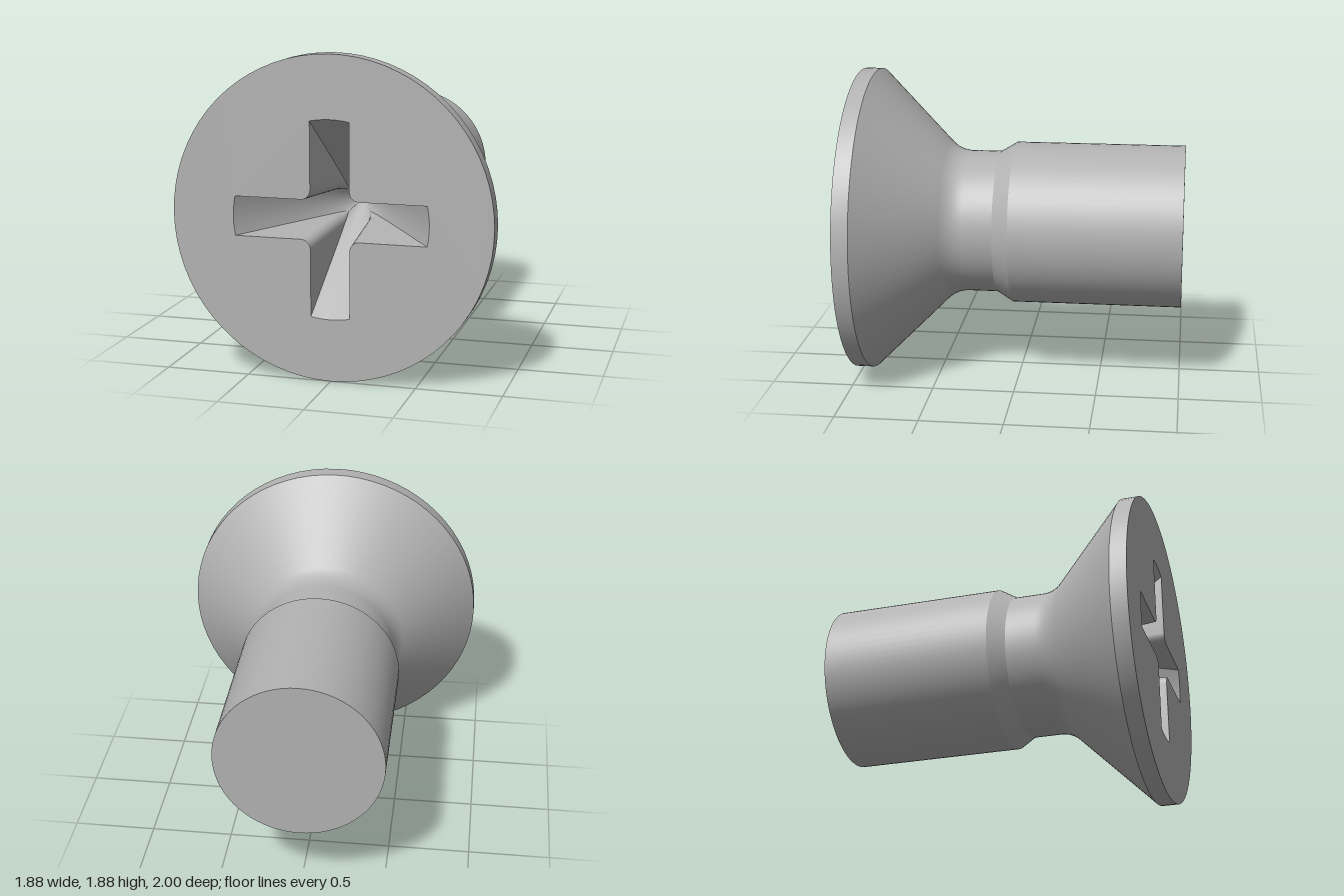
import * as THREE from 'three';
import { toCreasedNormals } from 'three/addons/utils/BufferGeometryUtils.js';

const HEAD_R = 0.94;
const DRIVE_R = 0.575; // reach of the cross arms at the mouth
const DRIVE_DEPTH = 0.75; // depth of the cone tip
const CROSS_DEPTH = 0.62; // depth where the arms merge into the cone

// Outline of the tapering cross recess at a given depth, counter-clockwise
function crossOutline(depth) {
  const reach = DRIVE_R * (1 - depth / DRIVE_DEPTH);
  const w = 0.115 - 0.075 * depth;
  const fillet = Math.max(0.001, Math.min(0.055, (Math.sqrt(reach * reach - w * w) - w) * 0.95));
  const half = Math.asin(w / reach);
  const arm = [];
  for (let i = 0; i <= 6; i++) { // rounded arm end
    const a = half * (i / 3 - 1);
    arm.push(new THREE.Vector2(reach * Math.cos(a), reach * Math.sin(a)));
  }
  for (let i = 0; i <= 6; i++) { // inner corner fillet
    const a = Math.PI * (1.5 - i / 12);
    arm.push(new THREE.Vector2(w + fillet * (1 + Math.cos(a)), w + fillet * (1 + Math.sin(a))));
  }
  const origin = new THREE.Vector2();
  const points = [];
  for (let k = 0; k < 4; k++) {
    for (const p of arm) points.push(p.clone().rotateAround(origin, k * Math.PI / 2));
  }
  return points;
}

// Recess walls lofted through the outlines and closed by a cone tip
function recessGeometry() {
  const steps = 16;
  const positions = [];
  const index = [];
  let n = 0;
  for (let s = 0; s <= steps; s++) {
    const depth = CROSS_DEPTH * s / steps;
    const ring = crossOutline(depth);
    n = ring.length;
    for (const p of ring) positions.push(p.x, p.y, 1 - depth);
  }
  const tip = positions.length / 3;
  positions.push(0, 0, 1 - DRIVE_DEPTH);
  for (let s = 0; s <= steps; s++) {
    for (let j = 0; j < n; j++) {
      const a = s * n + j;
      const b = s * n + (j + 1) % n;
      if (s === steps) index.push(a, b, tip);
      else index.push(a, b, a + n, b, b + n, a + n);
    }
  }
  const geometry = new THREE.BufferGeometry();
  geometry.setAttribute('position', new THREE.Float32BufferAttribute(positions, 3));
  geometry.setIndex(index);
  return toCreasedNormals(geometry, 0.5);
}

// Shank, undercut neck, countersunk cone and rim, turned about the z axis
function bodyGeometry() {
  const profile = [[0, -1], [0.5, -1], [0.5, 0.04], [0.44, 0.14]];
  for (let i = 0; i <= 6; i++) {
    const a = Math.PI / 4 * i / 6;
    profile.push([0.633 - 0.193 * Math.cos(a), 0.32 + 0.193 * Math.sin(a)]);
  }
  profile.push([HEAD_R, 0.9], [HEAD_R, 1]);
  const geometry = new THREE.LatheGeometry(profile.map(([r, z]) => new THREE.Vector2(r, z)), 72);
  geometry.rotateX(Math.PI / 2);
  return toCreasedNormals(geometry, 0.45);
}

// Flat head face with the cross opening
function faceGeometry() {
  const shape = new THREE.Shape();
  shape.absarc(0, 0, HEAD_R, 0, Math.PI * 2, false);
  shape.holes.push(new THREE.Path(crossOutline(0).reverse()));
  const geometry = new THREE.ShapeGeometry(shape, 36);
  geometry.translate(0, 0, 1);
  return geometry;
}

export function createModel() {
  const steel = new THREE.MeshStandardMaterial({ color: 0xb2b2b2 });
  steel.name = 'steel grey';
  const model = new THREE.Group();
  model.name = 'countersunkScrew';
  const parts = {
    shankAndHead: bodyGeometry(),
    headFace: faceGeometry(),
    crossRecess: recessGeometry(),
  };
  for (const [name, geometry] of Object.entries(parts)) {
    const mesh = new THREE.Mesh(geometry, steel);
    mesh.name = name;
    mesh.position.y = HEAD_R;
    model.add(mesh);
  }
  return model;
}
